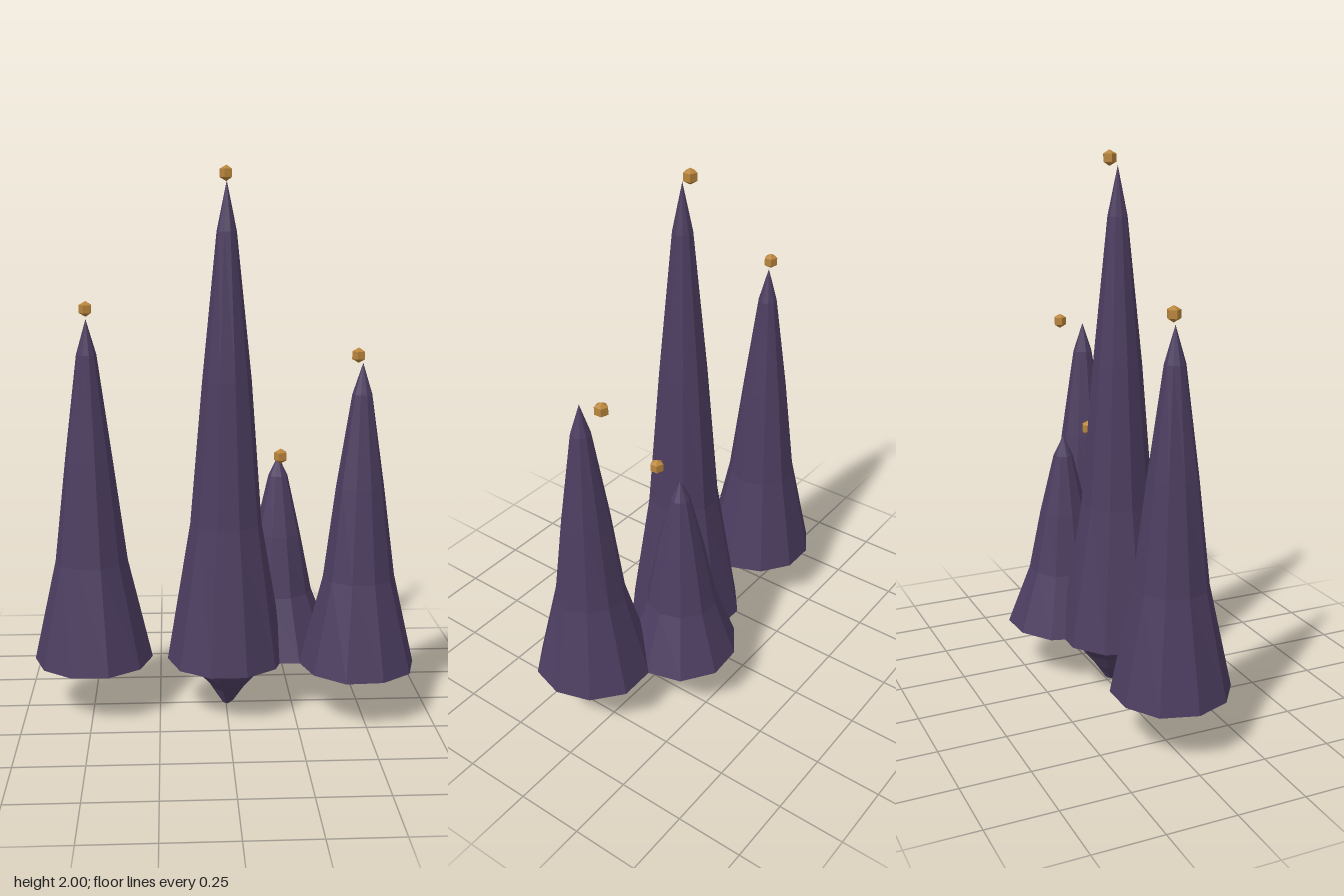
import * as THREE from 'three';

const spireMat = new THREE.MeshStandardMaterial({ color: 0x4c3d60, flatShading: true, side: THREE.DoubleSide });
spireMat.name = 'dusky purple';
const gemMat = new THREE.MeshStandardMaterial({ color: 0xb9853c, flatShading: true });
gemMat.name = 'amber';

// repeatable noise in -1..1 from a position, so seam vertices agree
function noise(x, y, z, seed) {
  const r = (v) => Math.round(v * 1000);
  const s = Math.sin(r(x) * 12.9898 + r(y) * 78.233 + r(z) * 37.719 + seed * 4.17) * 43758.5453;
  return 2 * (s - Math.floor(s)) - 1;
}

// faceted lathe with a vertex on +x, its rings roughened by the given amount
function roughLathe(profile, sides, amount, lift, seed) {
  const points = profile.map(([r, y]) => new THREE.Vector2(r, y));
  const geo = new THREE.LatheGeometry(points, sides, Math.PI / 2);
  const p = geo.attributes.position;
  for (let i = 0; i < p.count; i++) {
    const x = p.getX(i), y = p.getY(i), z = p.getZ(i);
    const k = 1 + amount * noise(x, y, z, seed);
    p.setXYZ(i, x * k, y + lift * noise(z, x, y, seed), z * k);
  }
  const flat = geo.toNonIndexed();
  flat.computeVertexNormals();
  return flat;
}

export function createModel() {
  const model = new THREE.Group();
  const base = 0.2;

  // x, z, apex height, gem height
  const spires = [
    ['tallSpire', 0, 0.04, 1.95, 1.975],
    ['rightSpire', -0.5, 0.015, 1.47, 1.505],
    ['leftSpire', 0.48, 0.105, 1.32, 1.335],
    ['rearSpire', 0.2, -0.095, 0.945, 0.965],
  ];
  spires.forEach(([name, x, z, top, gemY], i) => {
    const h = top - base;
    // open-bottomed ten-sided spire
    const profile = [[0.217, 0], [0.132, 0.3 * h], [0.088, 0.6 * h], [0.036, 0.9 * h], [0, h]];
    const spire = new THREE.Mesh(roughLathe(profile, 10, 0.03, 0, i + 1), spireMat);
    spire.name = name;
    spire.position.set(x, base, z);
    model.add(spire);

    // floating gem over the tip
    const gem = new THREE.Mesh(new THREE.SphereGeometry(0.028, 5, 3), gemMat);
    gem.name = name + 'Gem';
    gem.position.set(x, gemY, 0.008);
    model.add(gem);
  });

  // ragged rock hanging under the tall spire
  const rockProfile = [[0, 0.008], [0.022, 0.02], [0.06, 0.075], [0.1, 0.12], [0.135, 0.165], [0.165, 0.195], [0, 0.2]];
  const rock = new THREE.Mesh(roughLathe(rockProfile, 10, 0.12, 0.006, 9), spireMat);
  rock.name = 'hangingRock';
  rock.position.set(0.005, 0, 0.018);
  model.add(rock);

  return model;
}
